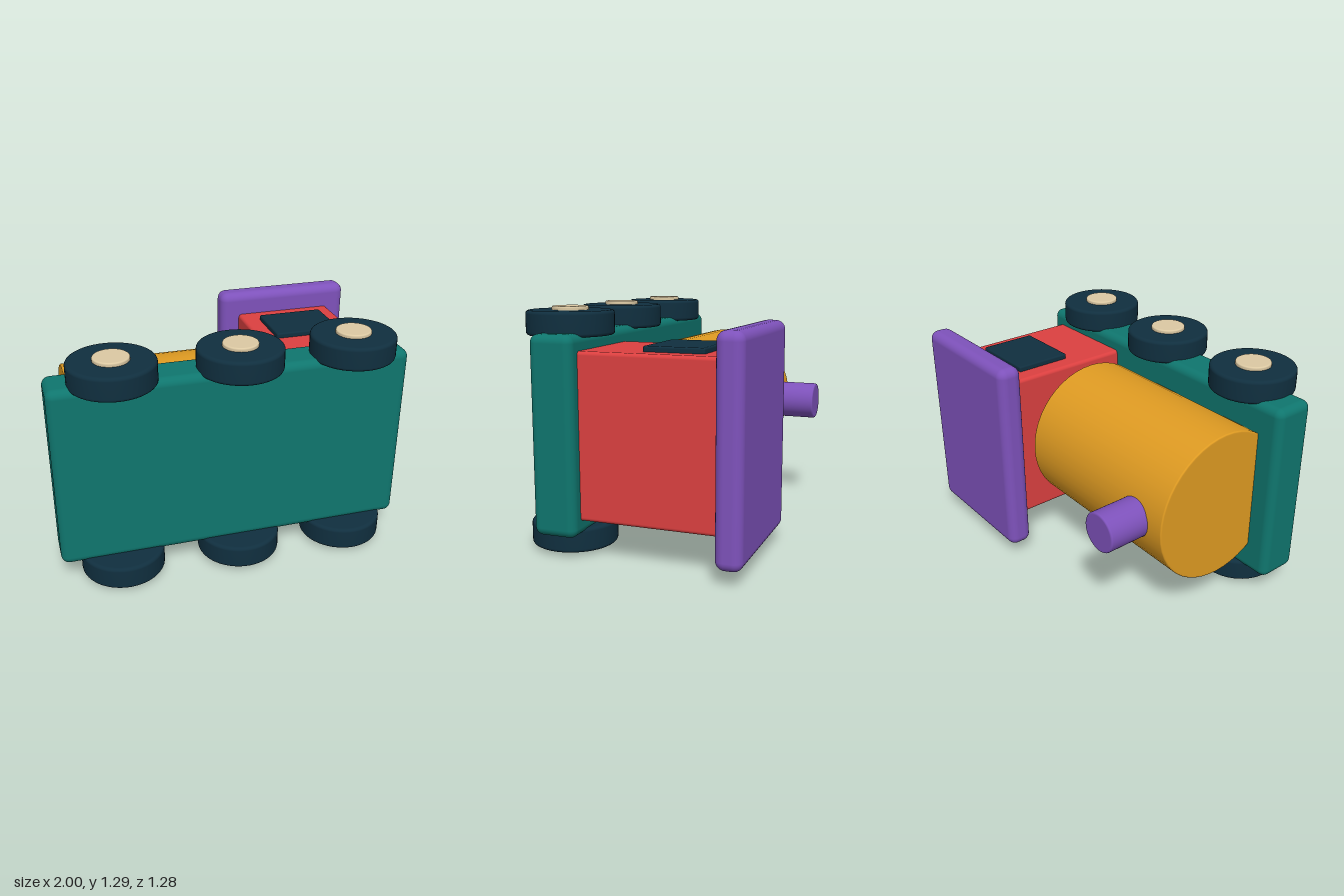
import * as THREE from 'three';
import { RoundedBoxGeometry } from 'three/addons/geometries/RoundedBoxGeometry.js';

const MID = 0.65; // height of the symmetry plane: the toy train lies on its side

function paint(name, color) {
  const m = new THREE.MeshStandardMaterial({ color });
  m.name = name;
  return m;
}

// Box with rounded edges, given by its [min, max] range on each axis
function roundedBox(name, [x0, x1], [y0, y1], [z0, z1], radius, material) {
  const geometry = new RoundedBoxGeometry(x1 - x0, y1 - y0, z1 - z0, 4, radius);
  const mesh = new THREE.Mesh(geometry, material);
  mesh.position.set((x0 + x1) / 2, (y0 + y1) / 2, (z0 + z1) / 2);
  mesh.name = name;
  return mesh;
}

// Solid disc or rod along y with softly rounded rims
function roundedCylinder(name, radius, length, bevel, material) {
  const h = length / 2;
  const inner = radius - bevel;
  const profile = [new THREE.Vector2(0, -h), new THREE.Vector2(inner * 0.98, -h)];
  for (const side of [-1, 1]) {
    for (let i = 0; i <= 4; i++) {
      const a = (side < 0 ? i - 4 : i) * Math.PI / 8;
      profile.push(new THREE.Vector2(
        inner + bevel * Math.cos(a),
        side * (h - bevel) + bevel * Math.sin(a)
      ));
    }
  }
  profile.push(new THREE.Vector2(inner * 0.98, h), new THREE.Vector2(0, h));
  const mesh = new THREE.Mesh(new THREE.LatheGeometry(profile, 48), material);
  mesh.name = name;
  return mesh;
}

export function createModel() {
  const teal = paint('teal', 0x0f766e);
  const red = paint('red', 0xdc4040);
  const purple = paint('purple', 0x7e52bb);
  const amber = paint('amber', 0xdf9b22);
  const navy = paint('navy', 0x102f3f);
  const cream = paint('cream', 0xdcc9a3);

  const train = new THREE.Group();
  train.name = 'toyTrain';

  // Chassis, cab and roof
  train.add(
    roundedBox('chassis', [-1, 0.957], [0.13, 1.17], [0.248, 0.488], 0.045, teal),
    roundedBox('cab', [0.295, 0.883], [0.212, 1.086], [-0.53, 0.29], 0.02, red),
    roundedBox('roof', [0.185, 1], [0.08, 1.22], [-0.642, -0.502], 0.05, purple)
  );

  // Boiler, sunk into the chassis
  const boiler = roundedCylinder('boiler', 0.423, 1.118, 0.008, amber);
  boiler.rotation.z = Math.PI / 2;
  boiler.position.set(-0.307, MID, 0.012);
  train.add(boiler);

  // Chimney
  const chimney = roundedCylinder('chimney', 0.11, 0.25, 0.01, purple);
  chimney.rotation.x = Math.PI / 2;
  chimney.position.set(-0.655, MID, -0.512);
  train.add(chimney);

  // Windows and wheels, mirrored on both flanks
  for (const side of [-1, 1]) {
    const flank = side > 0 ? 'Upper' : 'Lower';
    const windowY = MID + side * 0.445;
    train.add(roundedBox('window' + flank, [0.393, 0.785],
      [windowY - 0.02, windowY + 0.02], [-0.387, -0.062], 0.01, navy));

    [-0.655, 0.018, 0.65].forEach((x, i) => {
      const wheel = new THREE.Group();
      wheel.name = 'wheel' + flank + (i + 1);
      const tyre = roundedCylinder('tyre', 0.232, 0.13, 0.018, navy);
      const hub = roundedCylinder('hub', 0.096, 0.08, 0.008, cream);
      hub.position.y = side * 0.045;
      wheel.add(tyre, hub);
      wheel.position.set(x, MID + side * 0.562, 0.405);
      train.add(wheel);
    });
  }

  return train;
}
